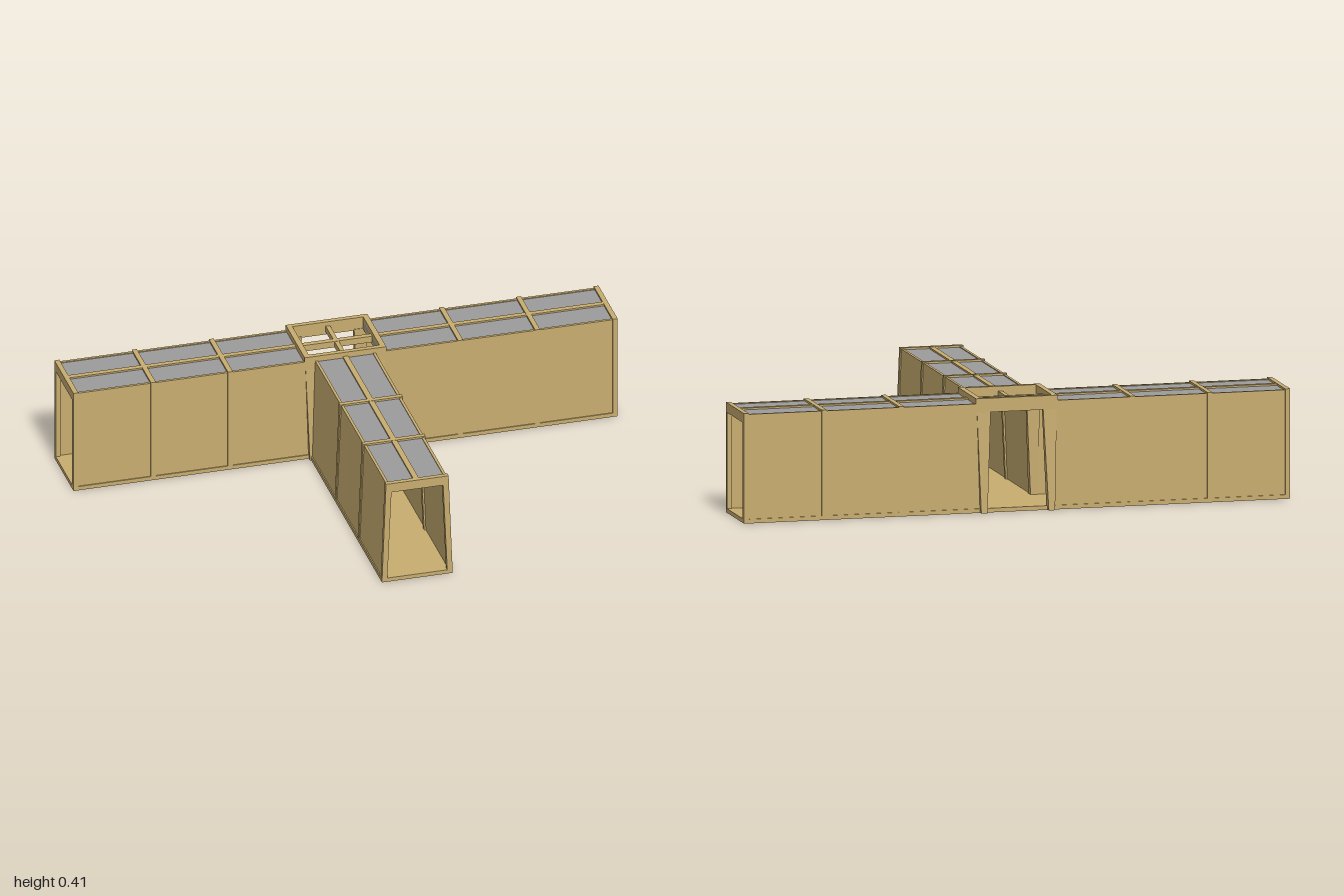
import * as THREE from 'three';

const tan = new THREE.MeshStandardMaterial({ color: 0xc8ad70, flatShading: true });
const grey = new THREE.MeshStandardMaterial({ color: 0x9c9c9c, flatShading: true });

const H = 0.395, FLOOR = 0.015, LINTEL = 0.36, HUB_Z = -0.46;

function add(parent, name, geometry, material = tan) {
  const mesh = new THREE.Mesh(geometry, material);
  mesh.name = name;
  parent.add(mesh);
  return mesh;
}

// Box given by its min and max corners
function box(parent, name, x0, x1, y0, y1, z0, z1, material) {
  const mesh = add(parent, name, new THREE.BoxGeometry(x1 - x0, y1 - y0, z1 - z0), material);
  mesh.position.set((x0 + x1) / 2, (y0 + y1) / 2, (z0 + z1) / 2);
  return mesh;
}

function polygon(points, Type = THREE.Shape) {
  return new Type(points.map(([x, y]) => new THREE.Vector2(x, y)));
}

function extrude(shape, z0, z1) {
  const g = new THREE.ExtrudeGeometry(shape, { depth: z1 - z0, bevelEnabled: false });
  return g.translate(0, 0, z0);
}

// Corridor running along +z; b and t are half widths at the bottom and top
function corridor(name, b, t, start, end, ribs) {
  const g = new THREE.Group();
  g.name = name;
  box(g, 'floor', -b, b, 0, FLOOR, start, end);

  // Side walls, set slightly inside the ribs
  for (const s of [-1, 1]) {
    const section = polygon([
      [s * (b - 0.004), FLOOR], [s * (t - 0.004), H - 0.004],
      [s * (t - 0.014), H - 0.004], [s * (b - 0.014), FLOOR],
    ]);
    add(g, 'wall', extrude(section, start, end - 0.002));
  }

  // Roof panels and ridge beam
  box(g, 'roofPanel', -t + 0.012, t - 0.012, 0.374, 0.388, start, end - 0.003, grey);
  box(g, 'ridgeBeam', -0.01, 0.01, 0.37, H - 0.001, start, end - 0.001);

  // Portal frames at each joint
  for (const z of ribs) {
    const frame = polygon([[-b, 0], [b, 0], [t, H], [-t, H]]);
    frame.holes.push(polygon([
      [-b + 0.02, FLOOR], [-t + 0.02, LINTEL], [t - 0.02, LINTEL], [b - 0.02, FLOOR],
    ], THREE.Path));
    add(g, 'portalFrame', extrude(frame, z - 0.009, z + 0.009));
  }
  return g;
}

// Hub corner post that changes section from foot to head
function cornerPost(parent, sx, sz) {
  const geo = new THREE.BoxGeometry(1, 1, 1);
  const p = geo.attributes.position;
  for (let i = 0; i < p.count; i++) {
    const top = p.getY(i) > 0, ox = p.getX(i) * sx > 0, oz = p.getZ(i) * sz > 0;
    const x = top ? (ox ? 0.146 : 0.096) : (ox ? 0.135 : 0.112);
    const z = top ? (oz ? 0.122 : 0.104) : (oz ? 0.14 : 0.108);
    p.setXYZ(i, sx * x, top ? 0.365 : 0, sz * z);
  }
  geo.computeVertexNormals();
  add(parent, 'cornerPost', geo);
}

function createHub() {
  const g = new THREE.Group();
  g.name = 'hub';
  box(g, 'hubFloor', -0.13, 0.13, 0, FLOOR, -0.125, 0.125);
  for (const sx of [-1, 1]) for (const sz of [-1, 1]) cornerPost(g, sx, sz);

  // Raised rim around the roof opening
  const rim = polygon([[-0.15, -0.124], [0.15, -0.124], [0.15, 0.124], [-0.15, 0.124]]);
  rim.holes.push(polygon([[-0.13, -0.106], [-0.13, 0.106], [0.13, 0.106], [0.13, -0.106]], THREE.Path));
  const mesh = add(g, 'roofRim', extrude(rim, 0, 0.41 - LINTEL));
  mesh.rotation.x = -Math.PI / 2;
  mesh.position.y = LINTEL;

  // Crossed roof beams
  box(g, 'crossBeam', -0.135, 0.135, 0.37, 0.394, -0.01, 0.01);
  box(g, 'crossBeam', -0.008, 0.008, 0.37, 0.393, -0.11, 0.11);
  return g;
}

export function createModel() {
  const model = new THREE.Group();
  model.name = 'corridorJunction';

  const stem = corridor('stemCorridor', 0.13, 0.115, 0.12, 1.06, [1.051, 0.751, 0.453]);
  const arms = [-1, 1].map((s) => {
    const arm = corridor(s < 0 ? 'rightCorridor' : 'leftCorridor',
      0.125, 0.125, 0.13, 1, [0.991, 0.706, 0.423]);
    arm.rotation.y = s * Math.PI / 2;
    return arm;
  });

  for (const part of [stem, ...arms, createHub()]) {
    part.position.z = HUB_Z;
    model.add(part);
  }
  return model;
}
